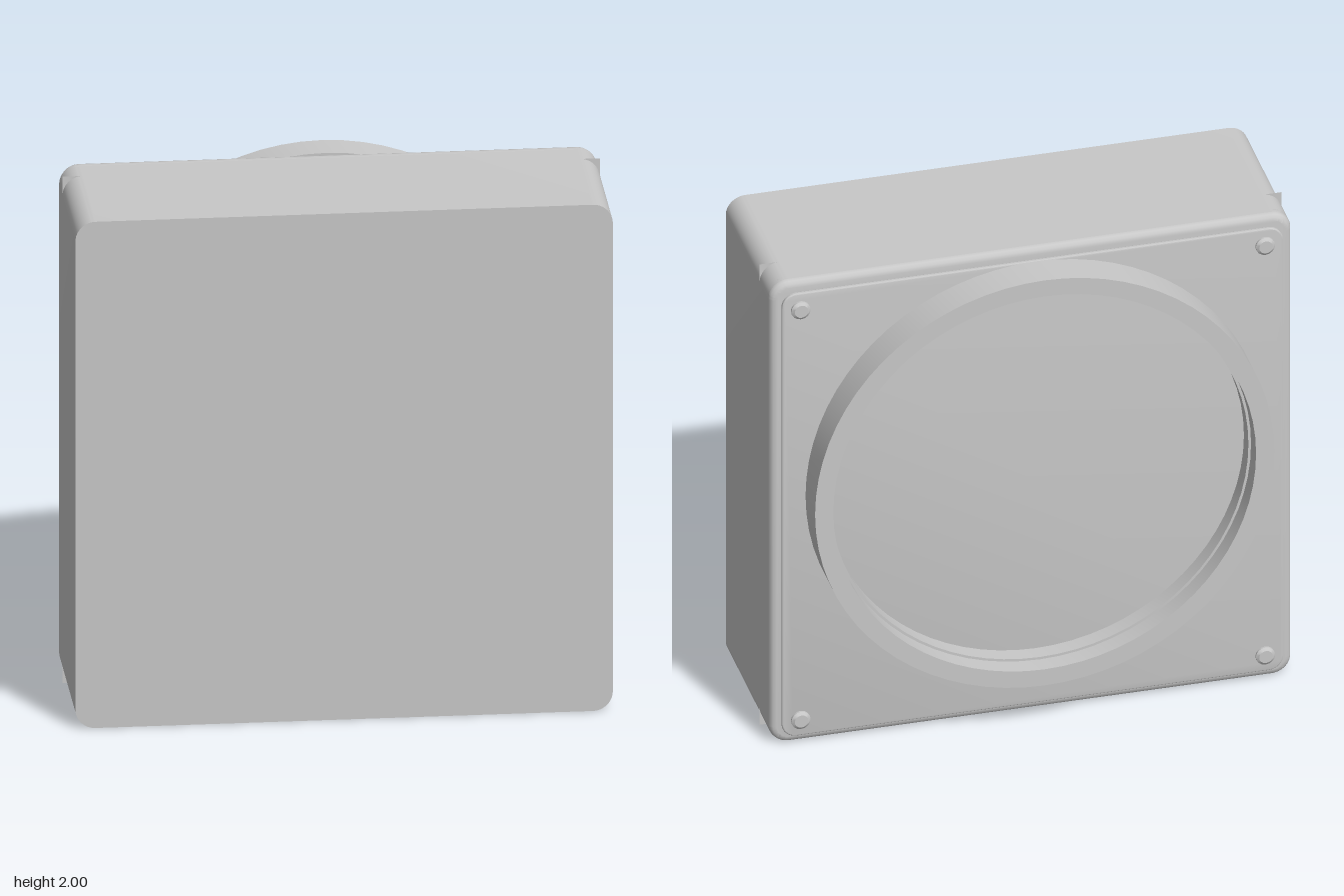
import * as THREE from 'three';
import { toCreasedNormals } from 'three/addons/utils/BufferGeometryUtils.js';

// Square outline with rounded corners, half-width h
function roundedSquare(h, r) {
  const s = new THREE.Shape();
  s.absarc(h - r, h - r, r, 0, Math.PI / 2);
  s.absarc(r - h, h - r, r, Math.PI / 2, Math.PI);
  s.absarc(r - h, r - h, r, Math.PI, Math.PI * 1.5);
  s.absarc(h - r, r - h, r, Math.PI * 1.5, Math.PI * 2);
  s.closePath();
  return s;
}

// Rounded slab from z0 to z1; the bevel stays inside h and the z range
function slab(h, r, z0, z1, bevel = 0) {
  const g = new THREE.ExtrudeGeometry(roundedSquare(h, r), {
    depth: z1 - z0 - 2 * bevel, curveSegments: 8,
    bevelEnabled: bevel > 0, bevelThickness: bevel, bevelSize: bevel, bevelOffset: -bevel, bevelSegments: 3,
  });
  g.translate(0, 1, z0 + bevel);
  return toCreasedNormals(g, 0.6);
}

// Lathe whose axis points to the back (-z); points are [radius, distance behind z = 0]
function turned(points, segments) {
  const g = new THREE.LatheGeometry(points.map(([r, d]) => new THREE.Vector2(r, d)), segments);
  g.rotateX(-Math.PI / 2);
  return toCreasedNormals(g.toNonIndexed(), 0.5);
}

export function createModel() {
  const model = new THREE.Group();
  model.name = 'boxWithRing';
  const grey = new THREE.MeshStandardMaterial({ color: 0xc8c8c8, side: THREE.DoubleSide });
  grey.name = 'lightGrey';
  const add = (name, geometry, x = 0, y = 0, z = 0) => {
    const m = new THREE.Mesh(geometry, grey);
    m.name = name;
    m.position.set(x, y, z);
    model.add(m);
  };

  // Housing with a sharp front and a softened back edge
  add('housing', slab(1, 0.075, -0.195, 0.42));
  add('housingBackEdge', slab(1, 0.075, -0.22, -0.15, 0.025));

  // Thin square sheet whose corners poke out of the rounded housing
  add('innerSheet', new THREE.PlaneGeometry(2, 2), 0, 1, -0.07);

  // Back cover: seal and bevelled plate
  add('coverSeal', slab(0.94, 0.05, -0.235, -0.21));
  add('backCover', slab(0.96, 0.055, -0.245, -0.229, 0.005));

  // Corner screws with chamfered heads
  const screw = turned([[0.037, 0.24], [0.037, 0.253], [0.026, 0.261], [0, 0.261]], 16);
  for (const x of [-0.89, 0.89]) {
    for (const y of [0.11, 1.89]) add('screw', screw, x, y);
  }

  // Floating collar ring with a small step in its bore
  add('collarRing', turned([
    [0.8, 0.28], [0.88, 0.28], [0.88, 0.418], [0.81, 0.418], [0.81, 0.345], [0.8, 0.345], [0.8, 0.28],
  ].reverse().map((p) => p).reverse(), 72), 0, 1.1);

  return model;
}
